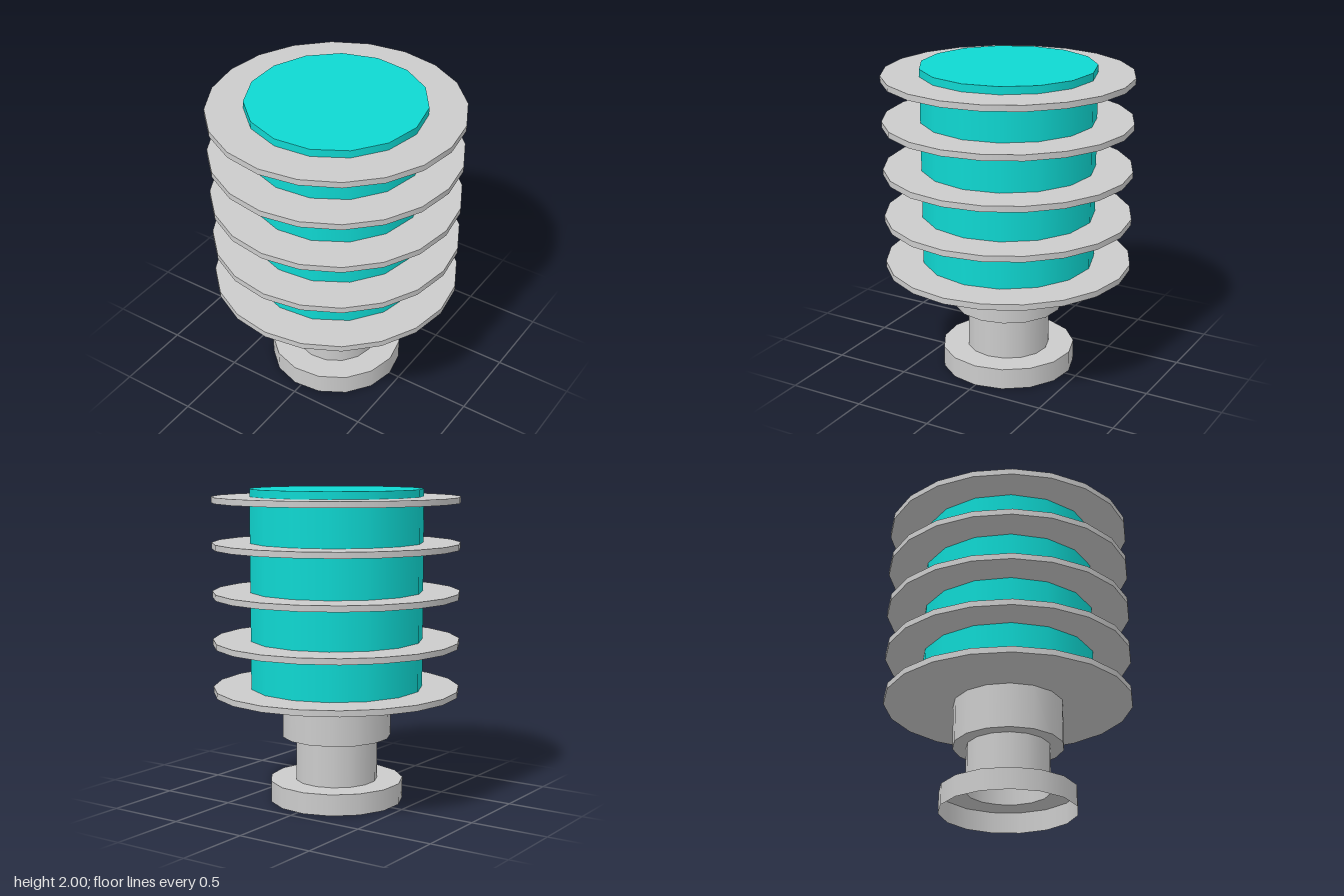
import * as THREE from 'three';
import { mergeGeometries } from 'three/addons/utils/BufferGeometryUtils.js';

export function createModel() {
  const model = new THREE.Group();
  const grey = new THREE.MeshStandardMaterial({ color: 0xcccccc });
  const shellGrey = new THREE.MeshStandardMaterial({ color: 0xcccccc, side: THREE.DoubleSide });
  const teal = new THREE.MeshStandardMaterial({ color: 0x0fd8d2 });

  // Capped cylinder between two heights, first corner on +x
  function addDisc(name, radius, bottom, top, sides, material) {
    const geometry = new THREE.CylinderGeometry(radius, radius, top - bottom, sides, 1, false, Math.PI / 2);
    const mesh = new THREE.Mesh(geometry, material);
    mesh.name = name;
    mesh.position.y = (bottom + top) / 2;
    model.add(mesh);
  }

  // Hollow stepped stem, open underneath; one lathe per step keeps the edges sharp
  const profile = [
    [0.43, 0], [0.43, 0.135], [0.265, 0.135],
    [0.265, 0.42], [0.35, 0.42], [0.35, 0.705],
  ].map(([r, y]) => new THREE.Vector2(r, y));
  const steps = [];
  for (let i = 0; i < profile.length - 1; i++) {
    steps.push(new THREE.LatheGeometry([profile[i], profile[i + 1]], 15, Math.PI / 2));
  }
  const stem = new THREE.Mesh(mergeGeometries(steps), shellGrey);
  stem.name = 'steppedStem';
  model.add(stem);

  // Coloured core
  addDisc('core', 0.553, 0.72, 2, 15, teal);

  // Thin fins around the core
  [0.703, 1.01, 1.318, 1.626, 1.914].forEach((y, i) => {
    addDisc(`fin${i + 1}`, 0.787, y, y + 0.038, 20, grey);
  });

  return model;
}
